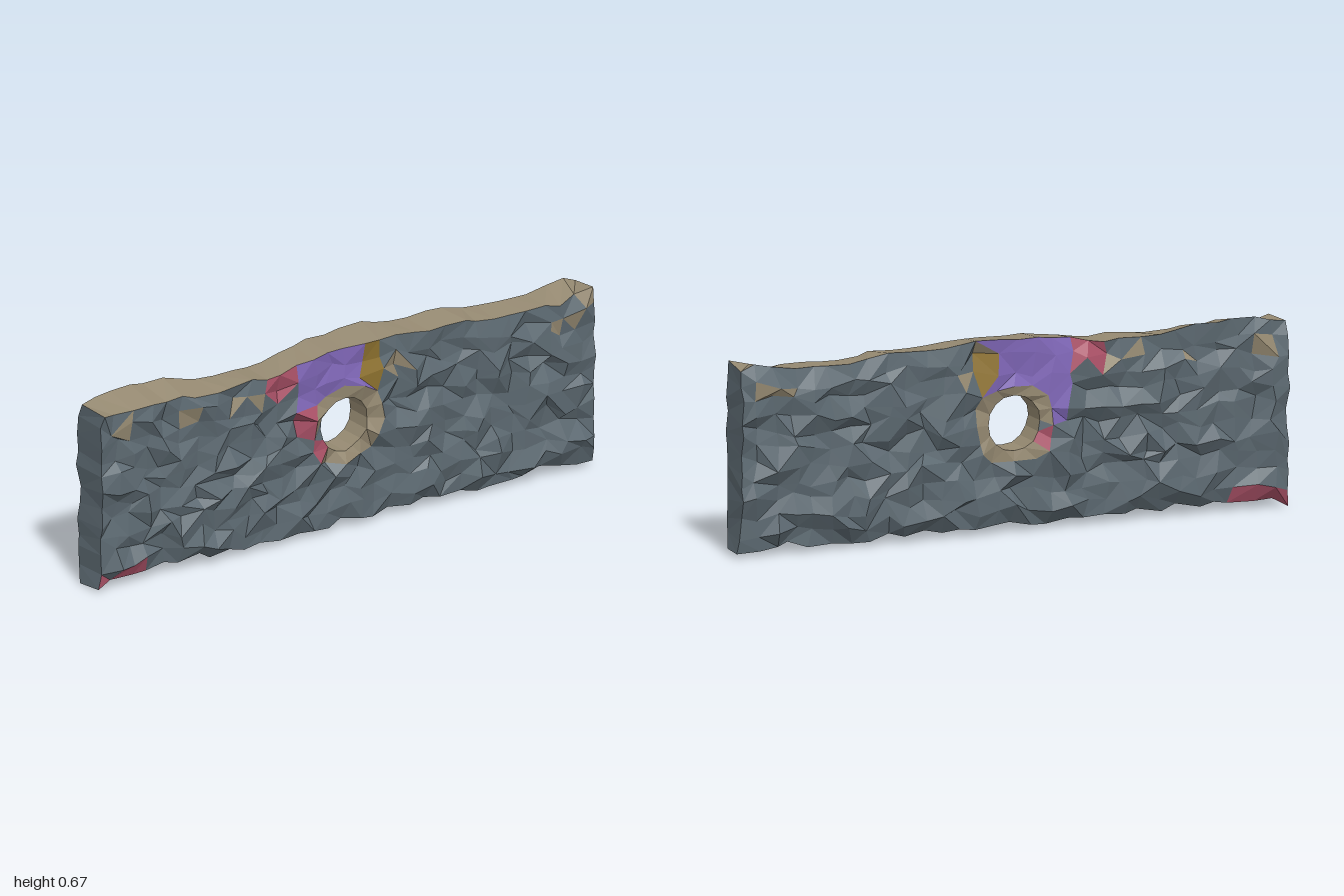
import * as THREE from 'three';

const COLS = 30, ROWS = 11;              // grid of each rough face
const I0 = 13, I1 = 17, J0 = 4, J1 = 8;  // block of cells replaced by the hole ring
const HOLE = { x: 0, y: 0.375, r: 0.095 };
const COLORS = { stone: 0x5d6a72, sand: 0x968a72, violet: 0x8067b8, rose: 0xac5268, ochre: 0x8f7330 };

// outline of the top edge: [x, y]
const TOP = [[-1, 0.632], [-0.85, 0.658], [-0.68, 0.655], [-0.55, 0.628], [-0.3, 0.622], [-0.2, 0.65],
  [0, 0.664], [0.12, 0.671], [0.25, 0.652], [0.45, 0.655], [0.62, 0.63], [0.84, 0.632], [0.91, 0.66], [1, 0.64]];
// how far the front rim of the top edge sits below the outline: [x, drop]
const DROP = [[-1, 0.004], [-0.9, 0.03], [-0.7, 0.032], [-0.5, 0.012], [-0.42, 0], [-0.2, 0.012], [0, 0.01],
  [0.12, 0.022], [0.22, 0.008], [0.4, 0.016], [0.6, 0.01], [0.8, 0.006], [0.88, 0.036], [0.95, 0.015], [1, -0.015]];
// mean depth of the front and back faces along x: [x, z]
const FRONT = [[-1, 0.066], [-0.7, 0.063], [-0.4, 0.073], [0, 0.058], [0.35, 0.061], [0.8, 0.074], [1, 0.077]];
const BACK = [[-1, -0.075], [-0.6, -0.061], [-0.35, -0.049], [0.2, -0.061], [0.6, -0.056], [1, -0.04]];

// small sandy chips near the top edge: [x, y]
const CHIPS = [[-0.89, 0.57], [-0.62, 0.54], [-0.45, 0.57], [-0.36, 0.55], [0.11, 0.64], [0.2, 0.55], [0.9, 0.57],
  [0.95, 0.6], [0.84, 0.55]];

function lookup(points, x) {
  for (let k = 1; k < points.length; k++) {
    const [x0, y0] = points[k - 1], [x1, y1] = points[k];
    if (x <= x1) return y0 + (y1 - y0) * (x - x0) / (x1 - x0);
  }
  return points[points.length - 1][1];
}

function seeded(seed) {
  return () => {
    seed = (seed + 0x6d2b79f5) | 0;
    let t = Math.imul(seed ^ (seed >>> 15), 1 | seed);
    t = (t + Math.imul(t ^ (t >>> 7), 61 | t)) ^ t;
    return ((t ^ (t >>> 14)) >>> 0) / 4294967296;
  };
}

const inViolet = (x, y) => x > -0.22 && x < 0.11 && y > 0.485;

// colour of a patch on either rough face
function faceColor(x, y, back) {
  if (x < -0.8 && y < 0.09 && (back || x > -0.94 || y < 0.05)) return 'rose';
  if (x > 0.06 && x < 0.14 && y > 0.51 && y < 0.63) return 'ochre';
  if (inViolet(x, y)) return 'violet';
  if (x > -0.32 && x <= -0.22 && y > 0.54) return 'rose';
  if (x > -0.2 && x < -0.12 && y > 0.38 && y < 0.485) return back ? 'violet' : 'rose';
  return CHIPS.some(([cx, cy]) => Math.hypot(x - cx, y - cy) < 0.027) ? 'sand' : 'stone';
}

export function createModel() {
  const group = new THREE.Group();
  group.name = 'rockWall';
  const rand = seeded(41);
  const jitter = (a) => (rand() * 2 - 1) * a;

  // triangles gathered by part and colour
  const buckets = {};
  function tri(part, color, a, b, c) {
    const key = typeof color === 'function'
      ? color((a.x + b.x + c.x) / 3, (a.y + b.y + c.y) / 3) : color;
    const bucket = (buckets[`${part}_${key}`] ??= { color: COLORS[key], pos: [] });
    for (const v of [a, b, c]) bucket.pos.push(v.x, v.y, v.z);
  }
  function quad(part, color, a, b, c, d, flip = false) {
    if (flip) [b, d] = [d, b];
    if (rand() < 0.5) {
      tri(part, color, a, b, c);
      tri(part, color, a, c, d);
    } else {
      tri(part, color, a, b, d);
      tri(part, color, b, c, d);
    }
  }

  // shared heights for the ragged top and bottom edges
  const topJitter = [], bottomY = [];
  for (let i = 0; i <= COLS; i++) {
    topJitter.push(jitter(0.004));
    bottomY.push(0.03 + jitter(0.016));
  }
  bottomY[0] = 0.006;
  bottomY[COLS] = 0.014;

  function makeGrid(back) {
    const grid = [];
    for (let i = 0; i <= COLS; i++) {
      const column = [];
      for (let j = 0; j <= ROWS; j++) {
        const endX = i === 0 || i === COLS, endY = j === 0 || j === ROWS;
        const nearHole = i >= I0 && i <= I1 && j >= J0 && j <= J1;
        const amount = nearHole ? 0.01 : 0.018;
        let x = -1 + 2 * i / COLS;
        const top = lookup(TOP, x) + topJitter[i] - (back ? 0 : lookup(DROP, x));
        const bottom = bottomY[i] + (back ? 0 : jitter(0.006));
        let y = bottom + (top - bottom) * j / ROWS;
        const rough = endX ? 0.014 : endY || inViolet(x, y) ? 0.008 : 0.022;
        let z = lookup(back ? BACK : FRONT, x) + jitter(rough);
        // round the block of cells off around the hole
        if (nearHole) {
          const r = Math.hypot(x - HOLE.x, y - HOLE.y) || 1;
          const s = (0.3 * r + 0.7 * 0.145) / r;
          x = HOLE.x + (x - HOLE.x) * s;
          y = HOLE.y + (y - HOLE.y) * s;
        }
        x += endX ? -Math.sign(x) * (j === 0 ? 0 : 0.006 + rand() * 0.01) : jitter(amount);
        y += endY ? 0 : jitter(endX ? 0.014 : amount);
        if (j === 0) z *= (back && x > -0.8 ? 0.5 : 0.65) + rand() * 0.2;  // undercut foot
        if (back && j > 0 && j < 5 && i < 10) z -= 0.006;                  // low bulge at the back
        if (back && j === ROWS && Math.abs(x) > 0.2) z += 0.01;            // narrower crest
        column.push(new THREE.Vector3(x, j === 0 && back && i === 0 ? 0 : y, z));
      }
      grid.push(column);
    }
    return grid;
  }

  // counter-clockwise border of the block around the hole
  function blockBorder(grid) {
    const out = [];
    for (let i = I0; i < I1; i++) out.push(grid[i][J0]);
    for (let j = J0; j < J1; j++) out.push(grid[I1][j]);
    for (let i = I1; i > I0; i--) out.push(grid[i][J1]);
    for (let j = J1; j > J0; j--) out.push(grid[I0][j]);
    return out;
  }

  function makeFace(part, grid, back) {
    const color = (x, y) => faceColor(x, y, back);
    for (let i = 0; i < COLS; i++) {
      for (let j = 0; j < ROWS; j++) {
        if (i >= I0 && i < I1 && j >= J0 && j < J1) continue;
        quad(part, color, grid[i][j], grid[i + 1][j], grid[i + 1][j + 1], grid[i][j + 1], back);
      }
    }
    // ring of facets between the block border and the round hole
    const border = blockBorder(grid), n = border.length;
    const rim = border.map((_, k) => {
      const a = -0.75 * Math.PI + k * 2 * Math.PI / n;
      return new THREE.Vector3(HOLE.x + HOLE.r * Math.cos(a), HOLE.y + HOLE.r * Math.sin(a),
        (back ? -0.05 : 0.05) + jitter(0.007));
    });
    const ringColor = (x, y) => (x < -0.09 && y < 0.38 ? (y < 0.34 ? 'rose' : 'stone') : 'sand');
    for (let k = 0; k < n; k++) {
      const m = (k + 1) % n;
      quad(part, ringColor, border[k], border[m], rim[m], rim[k], back);
    }
    return rim;
  }

  // rough front and back faces
  const F = makeGrid(false), B = makeGrid(true);
  const rimF = makeFace('frontFace', F, false);
  const rimB = makeFace('backFace', B, true);

  // tunnel through the wall
  rimF.forEach((v, k) => {
    const m = (k + 1) % rimF.length;
    quad('holeTunnel', 'sand', v, rimF[m], rimB[m], rimB[k]);
  });

  // top and bottom edges
  for (let i = 0; i < COLS; i++) {
    quad('topEdge', 'sand', F[i][ROWS], F[i + 1][ROWS], B[i + 1][ROWS], B[i][ROWS]);
    quad('bottomEdge', i < 3 ? 'rose' : 'stone', F[i][0], F[i + 1][0], B[i + 1][0], B[i][0], true);
  }

  // end faces
  for (let j = 0; j < ROWS; j++) {
    quad('leftEnd', 'stone', F[COLS][j], B[COLS][j], B[COLS][j + 1], F[COLS][j + 1]);
    quad('rightEnd', 'stone', F[0][j], B[0][j], B[0][j + 1], F[0][j + 1], true);
  }

  for (const [name, { color, pos }] of Object.entries(buckets)) {
    const geometry = new THREE.BufferGeometry();
    geometry.setAttribute('position', new THREE.Float32BufferAttribute(pos, 3));
    geometry.computeVertexNormals();
    const mesh = new THREE.Mesh(geometry, new THREE.MeshStandardMaterial({ color, flatShading: true }));
    mesh.name = name;
    group.add(mesh);
  }
  return group;
}
